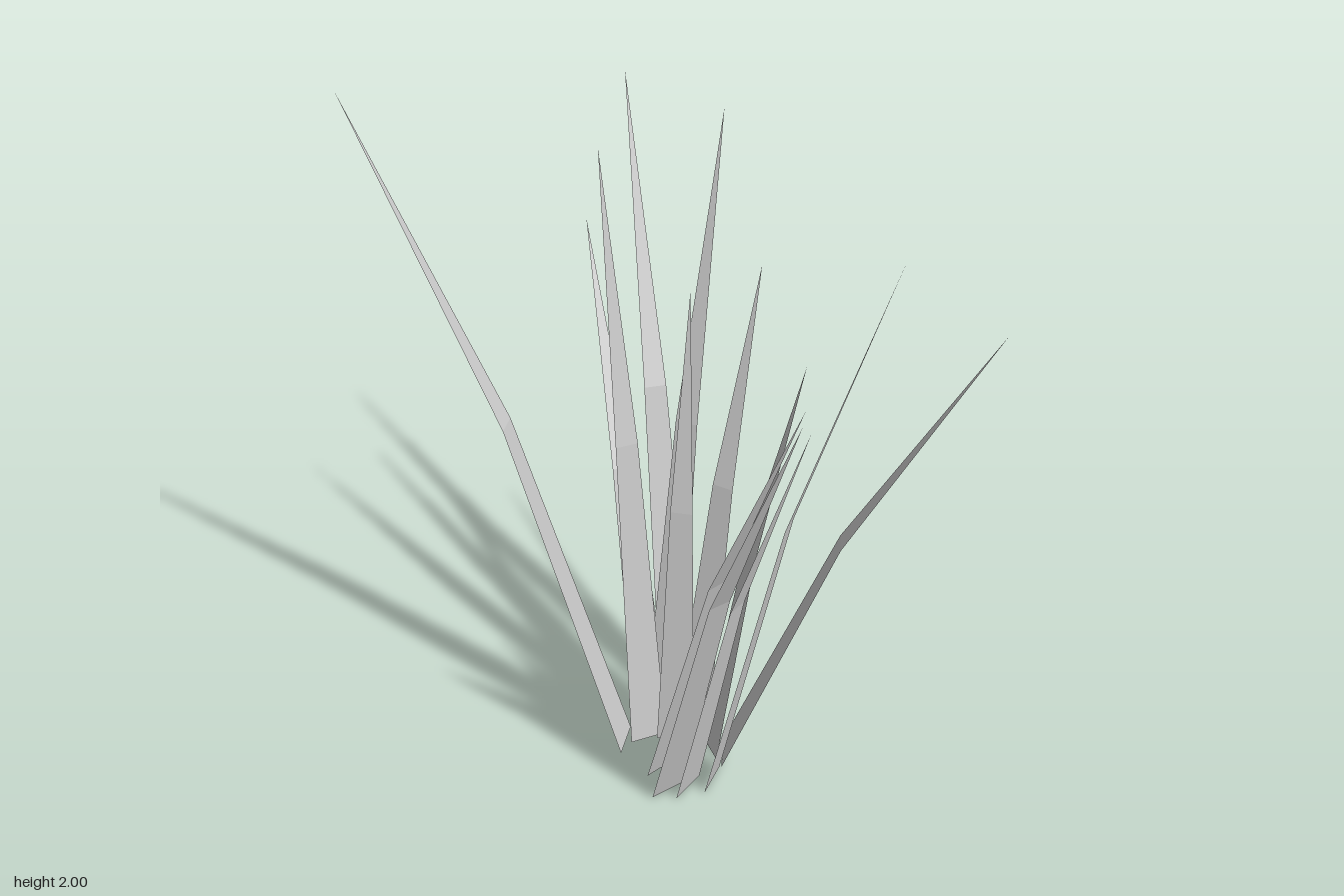
import * as THREE from 'three';

// Each blade: base centre x, z, then tip x, y, z
const BLADES = [
  [-0.117, 0.158, -0.75, 2.0, 0.33],
  [-0.052, -0.042, -0.472, 1.765, -0.514],
  [-0.078, 0.064, -0.503, 1.39, -0.343],
  [-0.063, 0.117, -0.285, 1.79, -0.067],
  [-0.042, 0.088, -0.095, 1.81, -0.368],
  [0.01, 0.09, -0.062, 1.41, -0.132],
  [0.007, -0.023, 0.006, 1.36, -0.404],
  [0.108, 0.064, 0.268, 1.275, -0.142],
  [0.154, 0.068, 0.755, 1.48, -0.228],
  [0.177, 0.174, 0.62, 1.85, 0.136],
  [0.13, 0.23, 0.478, 1.42, 0.281],
  [0.028, 0.198, 0.51, 1.565, 0.389],
  [0.086, 0.264, 0.56, 1.62, 0.512],
];
const BASE_HALF = 0.054;
const BEND_HALF = 0.031;
const BEND_OUT = 0.45;
const BEND_UP = 0.55;

// A flat blade: a tapering lower strip, then a pointed tip that leans out further
function bladeGeometry([bx, bz, tx, ty, tz]) {
  const base = new THREE.Vector3(bx, 0, bz);
  const tip = new THREE.Vector3(tx, ty, tz);
  const bend = base.clone().lerp(tip, BEND_OUT).setY(ty * BEND_UP);
  // Level direction across the blade, square to its lean
  const side = new THREE.Vector3(tz - bz, 0, bx - tx).normalize();
  const at = (p, w) => p.clone().addScaledVector(side, w);
  const a = at(base, -BASE_HALF), b = at(base, BASE_HALF);
  const c = at(bend, BEND_HALF), d = at(bend, -BEND_HALF);
  const geometry = new THREE.BufferGeometry().setFromPoints([a, b, c, a, c, d, d, c, tip]);
  geometry.computeVertexNormals();
  return geometry;
}

export function createModel() {
  const group = new THREE.Group();
  group.name = 'grassTuft';
  const grey = new THREE.MeshStandardMaterial({ color: 0xcccccc, side: THREE.DoubleSide, flatShading: true });
  grey.name = 'bladeGrey';
  BLADES.forEach((blade, i) => {
    const mesh = new THREE.Mesh(bladeGeometry(blade), grey);
    mesh.name = `blade${i + 1}`;
    group.add(mesh);
  });
  return group;
}
